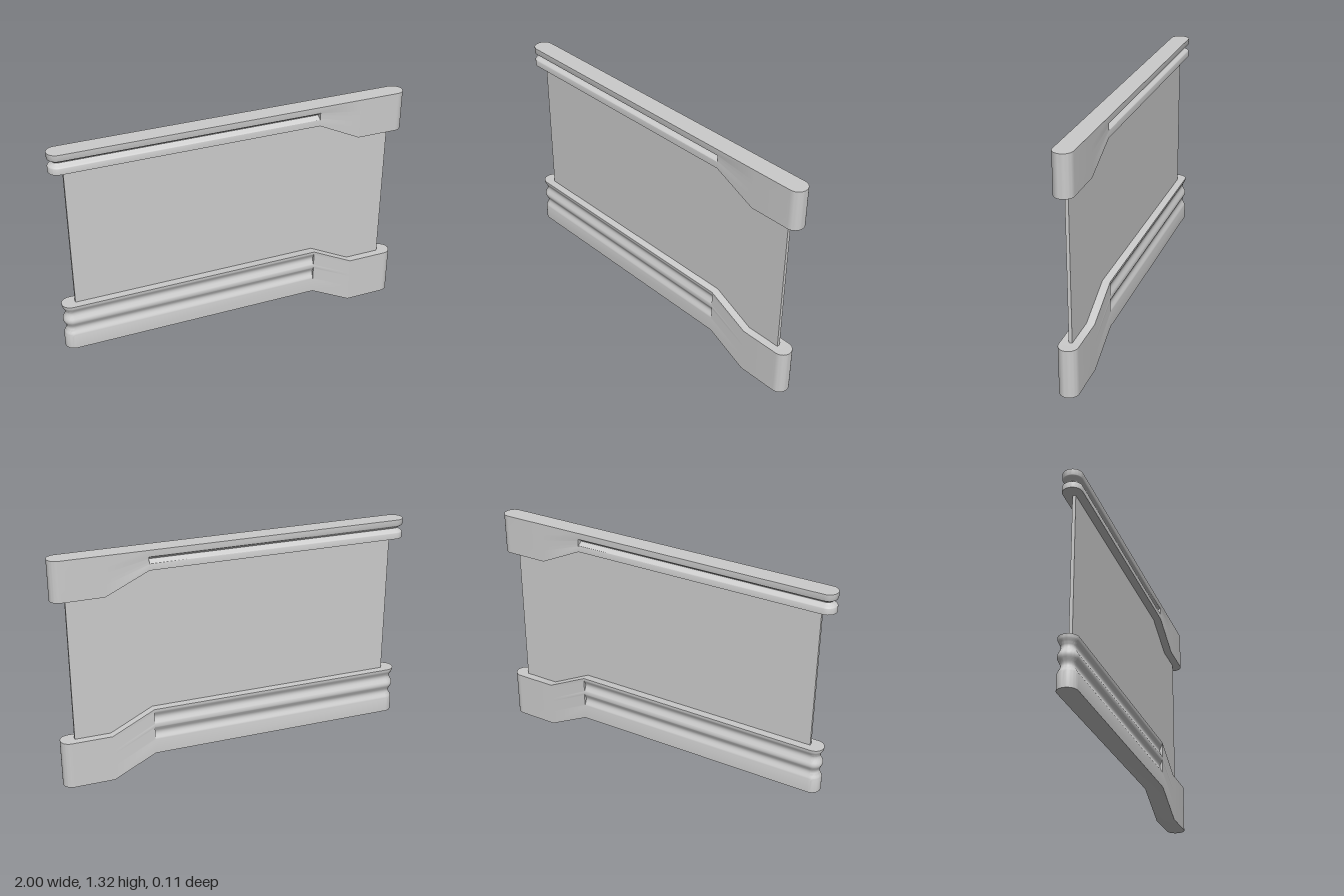
import * as THREE from 'three';
import { toCreasedNormals } from 'three/addons/utils/BufferGeometryUtils.js';

const HALF = 0.053;            // half thickness of the rails
const BEND = 0.48, FOOT = 0.72; // where the rail starts and ends its slope
const ARC = 10;

// Depth of evenly spaced smooth grooves between y0 and y1
const grooves = (y0, y1, count, depth) => (y) =>
  y <= y0 || y >= y1 ? 0 : (depth / 2) * (1 - Math.cos(((y - y0) / (y1 - y0)) * count * Math.PI * 2));

// Rail with rounded ends: left portion grooved, right portion stepping down.
// left / right = [bottom, top] heights of either end.
function railGeometry(left, right, y0, y1, count, depth) {
  const inset = grooves(y0, y1, count, depth);
  const rows = [left[0]];
  const steps = count * 12;
  for (let i = 0; i <= steps; i++) rows.push(y0 + ((y1 - y0) * i) / steps);
  rows.push(left[1]);

  // stations along the front side, from the left tip to the right tip
  const stations = [];
  for (let i = 0; i <= ARC; i++) {
    const a = (i / ARC) * Math.PI / 2;
    stations.push({ cx: -1 + HALF, dx: -Math.cos(a), dz: Math.sin(a), cut: 1 });
  }
  stations.push({ cx: BEND, dx: 0, dz: 1, cut: 1 }, { cx: BEND, dx: 0, dz: 1, cut: 0 }, { cx: FOOT, dx: 0, dz: 1, cut: 0 });
  for (let i = ARC; i >= 0; i--) {
    const a = (i / ARC) * Math.PI / 2;
    stations.push({ cx: 1 - HALF, dx: Math.cos(a), dz: Math.sin(a), cut: 0 });
  }

  const point = (s, row, side) => {
    const r = HALF - s.cut * inset(row);
    const k = THREE.MathUtils.clamp((s.cx - BEND) / (FOOT - BEND), 0, 1);
    const t = (row - left[0]) / (left[1] - left[0]);
    const y = THREE.MathUtils.lerp(row, right[0] + t * (right[1] - right[0]), k);
    return [s.cx + s.dx * r, y, side * s.dz * r];
  };

  const pos = [];
  const quad = (a, b, c, d) => pos.push(...a, ...b, ...c, ...a, ...c, ...d);
  const low = rows[0], high = rows[rows.length - 1];
  for (let i = 0; i < stations.length - 1; i++) {
    const s = stations[i], n = stations[i + 1];
    for (let j = 0; j < rows.length - 1; j++) {
      const p = rows[j], q = rows[j + 1];
      quad(point(s, p, 1), point(n, p, 1), point(n, q, 1), point(s, q, 1));
      quad(point(n, p, -1), point(s, p, -1), point(s, q, -1), point(n, q, -1));
    }
    // top and underside
    quad(point(s, high, 1), point(n, high, 1), point(n, high, -1), point(s, high, -1));
    quad(point(s, low, -1), point(n, low, -1), point(n, low, 1), point(s, low, 1));
  }
  const g = new THREE.BufferGeometry();
  g.setAttribute('position', new THREE.Float32BufferAttribute(pos, 3));
  return toCreasedNormals(g, 0.6);
}

export function createModel() {
  const group = new THREE.Group();
  const material = new THREE.MeshStandardMaterial({ color: 0xcccccc });
  const add = (name, geometry) => {
    const mesh = new THREE.Mesh(geometry, material);
    mesh.name = name;
    group.add(mesh);
    return mesh;
  };

  // upper rail with a single deep groove
  add('upperRail', railGeometry([1.205, 1.315], [1.09, 1.315], 1.237, 1.283, 1, 0.027));
  // lower rail with two shallow grooves
  add('lowerRail', railGeometry([0.122, 0.395], [0, 0.273], 0.2, 0.39, 2, 0.017));
  // thin panel held between the rails
  add('panel', new THREE.BoxGeometry(1.845, 1.03, 0.018)).position.set(-0.0025, 0.715, 0);

  return group;
}
